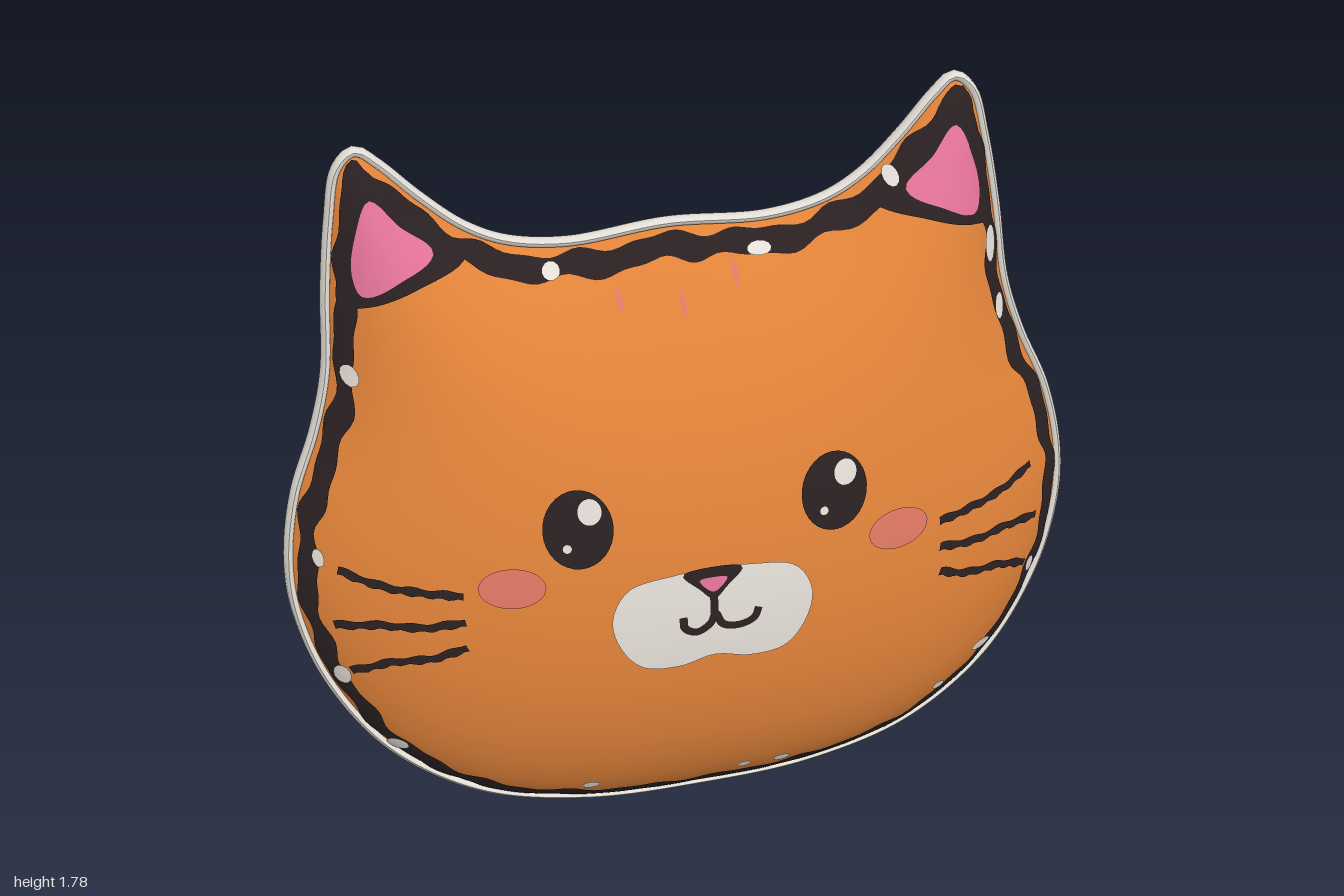
import * as THREE from 'three';

const mat = (name, color) => new THREE.MeshStandardMaterial({ name, color });
const TAU = Math.PI * 2, CY = 0.72, N = 360;

// smooth curve through [x, y] points, sampled evenly
function sample(points, closed, count) {
  const curve = new THREE.CatmullRomCurve3(points.map(([x, y]) => new THREE.Vector3(x, y, 0)), closed, 'centripetal');
  curve.arcLengthDivisions = 800;
  const out = curve.getSpacedPoints(count).map(p => [p.x, p.y]);
  if (closed) out.pop();
  return out;
}
const mirror = points => points.map(([x, y]) => [-x, y]).reverse();

// head outline, counter-clockwise from the chin
const half = [[0.3, 0.014], [0.57, 0.085], [0.79, 0.24], [0.93, 0.45], [0.99, 0.64], [0.997, 0.78], [0.965, 0.95],
  [0.9, 1.11], [0.86, 1.25], [0.84, 1.45], [0.815, 1.62], [0.785, 1.74], [0.74, 1.775], [0.69, 1.74],
  [0.6, 1.65], [0.5, 1.565], [0.4, 1.515], [0.25, 1.49]];
const outline = sample([[0, 0], ...half, [0, 1.505], ...mirror(half)], true, N)
  .map(([x, y]) => [x * 0.987, CY + (y - CY) * 0.987]);

// smooth distance to the outline: inverse of the averaged inverse distance in all directions
function depth(x, y) {
  let sum = 0;
  for (let i = 0; i < N; i++) {
    const a = outline[i], b = outline[(i + 1) % N];
    const ax = a[0] - x, ay = a[1] - y, bx = b[0] - x, by = b[1] - y;
    const ra = Math.hypot(ax, ay), rb = Math.hypot(bx, by);
    if (ra < 1e-6 || rb < 1e-6) return 0;
    sum += (1 / ra + 1 / rb) * Math.tan(Math.atan2(ax * by - ay * bx, ax * bx + ay * by) / 2);
  }
  return Math.max(0, 1 / sum);
}
const deepest = depth(0, 0.8);

// pillow surface: tilted seam plane plus a bulge to the front (side 1) or back (side -1)
const seam = y => 0.155 - 0.207 * y;
const surface = (x, y, side) => seam(y) + side * 0.283 * (depth(x, y) / deepest) ** 0.85;

// grid of rows along a path and columns across it, laid on the pillow
function drape(name, material, rows, cols, at, side, lift, closed) {
  const pos = [], index = [];
  for (let i = 0; i < rows; i++) for (let j = 0; j <= cols; j++) {
    const [x, y] = at(i, j / cols);
    pos.push(x, y, surface(x, y, side) + side * lift);
  }
  const w = cols + 1;
  for (let i = 0; i < (closed ? rows : rows - 1); i++) for (let j = 0; j < cols; j++) {
    const a = i * w + j, b = ((i + 1) % rows) * w + j;
    if (side > 0) index.push(a, a + 1, b, b, a + 1, b + 1);
    else index.push(a, b, a + 1, b, b + 1, a + 1);
  }
  const geo = new THREE.BufferGeometry();
  geo.setAttribute('position', new THREE.Float32BufferAttribute(pos, 3));
  geo.setIndex(index);
  geo.computeVertexNormals();
  const mesh = new THREE.Mesh(geo, material);
  mesh.name = name;
  return mesh;
}

// filled counter-clockwise contour, fanned out from its centre
function patch(name, material, contour, side = 1, lift = 0.004, cols = 6) {
  const n = contour.length;
  const cx = contour.reduce((t, p) => t + p[0], 0) / n, cy = contour.reduce((t, p) => t + p[1], 0) / n;
  return drape(name, material, n, cols,
    (i, v) => [cx + (contour[i][0] - cx) * v, cy + (contour[i][1] - cy) * v], side, lift, true);
}

// painted line; span(i) gives its two edges as distances to the left of the path
function ribbon(name, material, path, span, closed = false, side = 1, lift = 0.006) {
  const n = path.length;
  return drape(name, material, n, 3, (i, v) => {
    const a = path[closed ? (i + n - 1) % n : Math.max(0, i - 1)];
    const b = path[closed ? (i + 1) % n : Math.min(n - 1, i + 1)];
    const dx = b[0] - a[0], dy = b[1] - a[1], l = Math.hypot(dx, dy);
    const [from, to] = span(i);
    const d = THREE.MathUtils.lerp(from, to, v);
    return [path[i][0] - dy / l * d, path[i][1] + dx / l * d];
  }, side, lift, closed);
}
const ellipse = (x, y, rx, ry, n = 32) =>
  Array.from({ length: n }, (_, i) => [x + rx * Math.cos(i / n * TAU), y + ry * Math.sin(i / n * TAU)]);

export function createModel() {
  const model = new THREE.Group();
  const orange = mat('orange fabric', 0xe08239), dark = mat('dark paint', 0x2a2022), white = mat('off white', 0xe2ddd5);
  const pink = mat('pink', 0xe27299), blush = mat('blush', 0xde7763), red = mat('heart red', 0xdb6d5a);
  const add = (...meshes) => model.add(...meshes);
  const line = w => () => [w / 2, -w / 2];

  // cushion halves with wobbly painted border
  const wobble = i => 0.006 * Math.sin(i * TAU * 31 / N) + 0.004 * Math.sin(i * TAU * 53 / N + 1);
  for (const [side, label] of [[1, 'front'], [-1, 'back']]) {
    add(patch(label + 'Cushion', orange, outline, side, 0, 44));
    add(ribbon(label + 'Border', dark, outline,
      i => [0.056 + wobble(i), 0.016 + 0.8 * wobble(i + 2)], true, side, 0.005));
  }

  // piping around the seam, an oval wider from front to back
  const loop = new THREE.CatmullRomCurve3(outline.map(([x, y]) => new THREE.Vector3(x, y, seam(y))), true);
  const tube = new THREE.TubeGeometry(loop, N, 0.0125, 8, true), p = tube.attributes.position;
  for (let i = 0; i < p.count; i++) {
    const z = seam(p.getY(i));
    p.setZ(i, z + (p.getZ(i) - z) * 1.6);
  }
  tube.computeVertexNormals();
  const piping = new THREE.Mesh(tube, white);
  piping.name = 'piping';
  add(piping);

  // ears, eyes, cheeks and whiskers
  const earDark = [[0.5, 1.51], [0.62, 1.475], [0.75, 1.43], [0.805, 1.42], [0.797, 1.52], [0.775, 1.66], [0.745, 1.745],
    [0.71, 1.725], [0.65, 1.65], [0.57, 1.565]];
  const earPink = [[0.578, 1.537], [0.66, 1.495], [0.755, 1.456], [0.771, 1.5], [0.758, 1.58], [0.715, 1.668], [0.65, 1.605]];
  const whiskers = [[[0.6, 0.76], [0.68, 0.765], [0.78, 0.775], [0.88, 0.8]],
    [[0.6, 0.69], [0.7, 0.672], [0.8, 0.67], [0.9, 0.65]], [[0.6, 0.62], [0.68, 0.587], [0.78, 0.565], [0.87, 0.52]]];
  for (const [s, label] of [[1, 'left'], [-1, 'right']]) {
    const flip = points => s > 0 ? points : mirror(points);
    add(patch(label + 'EarPatch', dark, sample(flip(earDark), true, 60), 1, 0.006));
    add(patch(label + 'InnerEar', pink, sample(flip(earPink), true, 48), 1, 0.009));
    add(patch(label + 'Eye', dark, ellipse(s * 0.319, 0.912, 0.085, 0.097)));
    add(patch(label + 'EyeHighlight', white, ellipse(s * 0.319 + 0.03, 0.955, 0.029, 0.032, 20), 1, 0.007, 3));
    add(patch(label + 'EyeGlint', white, ellipse(s * 0.319 - 0.03, 0.87, 0.011, 0.011, 12), 1, 0.007, 2));
    add(patch(label + 'Cheek', blush, ellipse(s * 0.485, 0.775, 0.08, 0.052)));
    for (const w of whiskers) add(ribbon(label + 'Whisker', dark, sample(flip(w), false, 24),
      i => [0.011 + 0.003 * Math.sin(i), -0.011 + 0.003 * Math.sin(i * 1.7)]));
  }

  // muzzle, nose and mouth
  const muzzle = [[0.09, 0.515], [0.18, 0.525], [0.235, 0.59], [0.252, 0.67], [0.21, 0.745], [0.1, 0.77]];
  add(patch('muzzle', white, sample([[0, 0.535], ...muzzle, [0, 0.775], ...mirror(muzzle)], true, 64), 1, 0.004, 10));
  add(patch('nose', dark, sample([[0, 0.695], [0.035, 0.725], [0.075, 0.768], [0, 0.78], [-0.075, 0.768], [-0.035, 0.725]], true, 36), 1, 0.006));
  add(patch('noseCenter', pink, sample([[0, 0.716], [0.035, 0.75], [0, 0.755], [-0.035, 0.75]], true, 24), 1, 0.009, 3));
  add(ribbon('mouth', dark, sample([[0, 0.72], [0, 0.64]], false, 6), line(0.02)));
  add(ribbon('mouth', dark, sample([[-0.078, 0.655], [-0.075, 0.625], [-0.045, 0.61], [-0.01, 0.63], [0.002, 0.655],
    [0.02, 0.622], [0.06, 0.612], [0.1, 0.625], [0.112, 0.652]], false, 48), line(0.02)));

  // heart on the back
  const heart = [[0.07, -0.058], [0.124, 0.02], [0.115, 0.09], [0.058, 0.1]];
  const heartLine = sample([[0, -0.122], ...heart, [0, 0.05], ...mirror(heart)].map(([x, y]) => [x - 0.22, y + 0.94]), true, 64);
  add(patch('heart', red, heartLine, -1, 0.004));
  add(ribbon('heartOutline', dark, heartLine, line(0.018), true, -1));

  // small flecks beside the border: [x, y, rx, ry]
  const flecks = [[-0.8, 1.26, 0.02, 0.025], [-0.3, 1.445, 0.022, 0.015], [0.21, 1.435, 0.03, 0.012], [0.55, 1.56, 0.018, 0.02],
    [0.8, 1.36, 0.017, 0.045], [0.82, 1.2, 0.015, 0.03], [-0.92, 0.82, 0.013, 0.022], [-0.89, 0.5, 0.02, 0.03],
    [-0.77, 0.28, 0.025, 0.022], [-0.3, 0.115, 0.022, 0.016], [0.1, 0.105, 0.018, 0.014], [0.2, 0.1, 0.022, 0.016],
    [0.75, 0.31, 0.03, 0.018], [0.63, 0.22, 0.018, 0.015], [0.89, 0.5, 0.014, 0.025]];
  for (const [x, y, rx, ry] of flecks) {
    add(patch('frontFleck', white, ellipse(x, y, rx, ry, 12), 1, 0.008, 2));
    add(patch('backFleck', white, ellipse(-x, y, rx * 0.7, ry * 0.7, 12), -1, 0.008, 2));
  }
  for (const [x, y] of [[-0.15, 1.38], [0, 1.36], [0.14, 1.4]]) for (const side of [1, -1])
    add(patch('pinkFleck', blush, ellipse(x, y, 0.008, 0.025, 10), side, 0.004, 2));
  return model;
}
